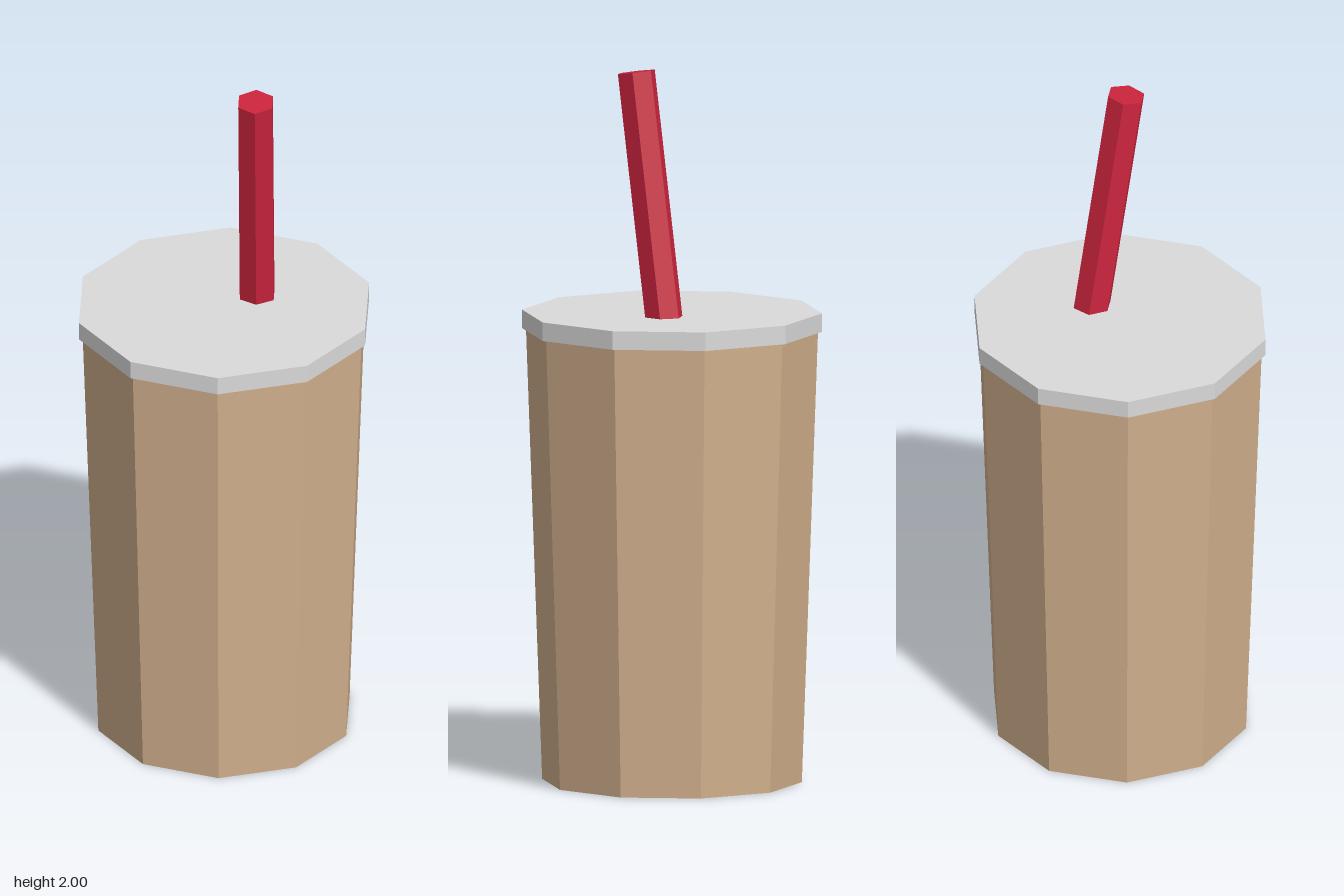
import * as THREE from 'three';

const SIDES = 10;

function material(name, color) {
  const m = new THREE.MeshStandardMaterial({ color, flatShading: true });
  m.name = name;
  return m;
}

// Faceted, optionally tapered prism standing between two heights
function prism(name, rTop, rBottom, y0, y1, sides, mat) {
  const mesh = new THREE.Mesh(new THREE.CylinderGeometry(rTop, rBottom, y1 - y0, sides), mat);
  mesh.name = name;
  mesh.position.y = (y0 + y1) / 2;
  return mesh;
}

export function createModel() {
  const model = new THREE.Group();
  model.name = 'drinkCup';

  const tan = material('tan', 0xd2b08d);
  const lightGrey = material('lightGrey', 0xdadada);
  const red = material('red', 0xcb243d);

  // Tapered cup and its overhanging lid
  model.add(prism('cup', 0.407, 0.362, 0, 1.265, SIDES, tan));
  model.add(prism('lid', 0.418, 0.418, 1.263, 1.315, SIDES, lightGrey));

  // Hexagonal straw leaning forward, its foot just below the lid top
  const foot = new THREE.Vector3(0.09, 1.29, -0.052);
  const tip = new THREE.Vector3(0.09, 1.992, 0.053);
  const straw = prism('straw', 0.0543, 0.0543, 0, foot.distanceTo(tip), 6, red);
  straw.position.copy(foot).lerp(tip, 0.5);
  straw.rotation.x = Math.atan2(tip.z - foot.z, tip.y - foot.y);
  model.add(straw);

  return model;
}
